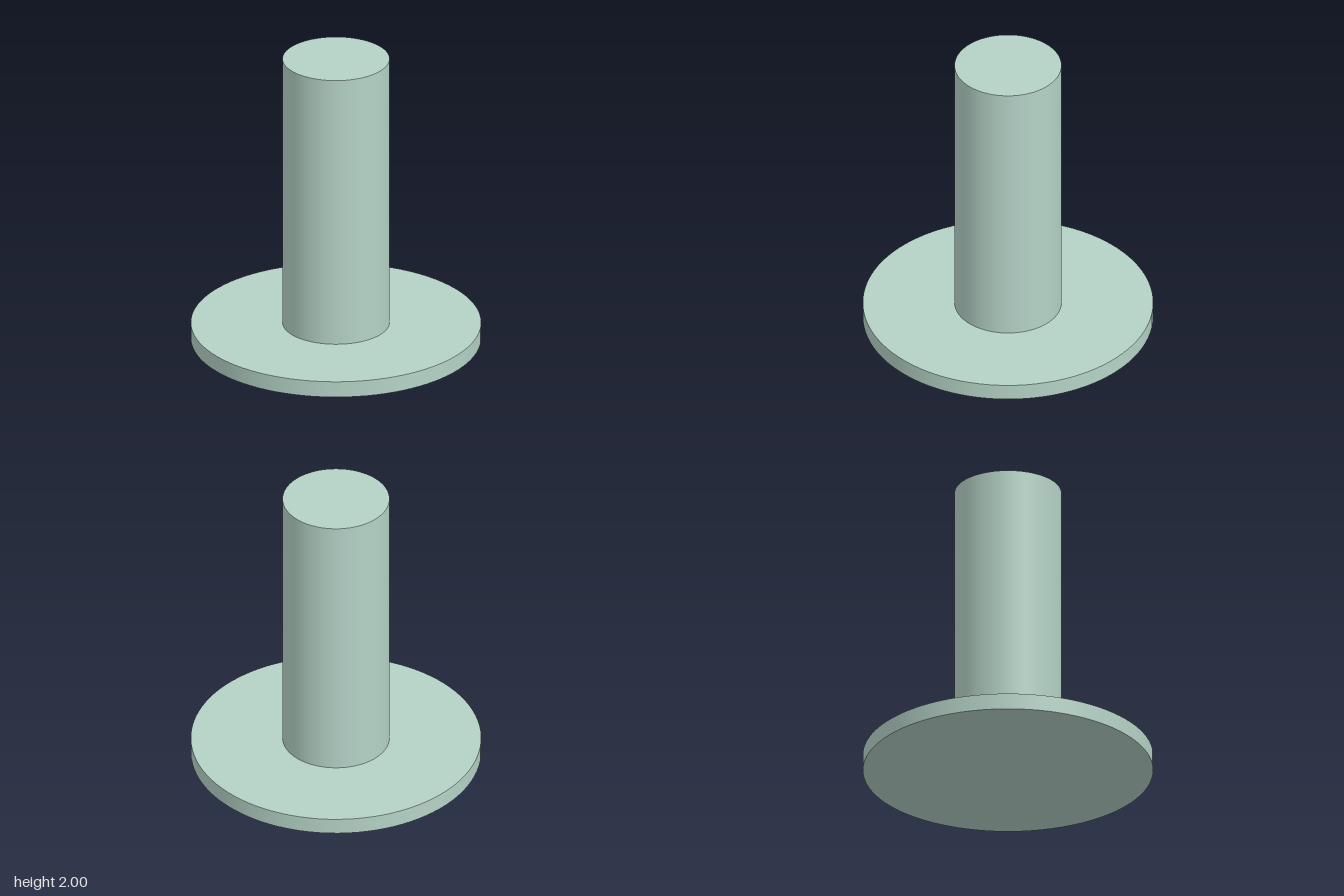
import * as THREE from 'three';

const SEGMENTS = 96;
const BASE_HEIGHT = 0.11;
const TOTAL_HEIGHT = 2;

export function createModel() {
  const group = new THREE.Group();
  group.name = 'flangedPost';
  const material = new THREE.MeshStandardMaterial({ color: 0xb5d3c7 });

  // Upright solid cylinder standing between two heights
  const addDisc = (name, radius, bottom, top) => {
    const geometry = new THREE.CylinderGeometry(radius, radius, top - bottom, SEGMENTS);
    const mesh = new THREE.Mesh(geometry, material);
    mesh.name = name;
    mesh.position.y = (bottom + top) / 2;
    group.add(mesh);
  };

  // Wide flat flange at the foot
  addDisc('baseFlange', 0.95, 0, BASE_HEIGHT);
  // Post rising from the flange
  addDisc('post', 0.35, BASE_HEIGHT, TOTAL_HEIGHT);

  return group;
}
